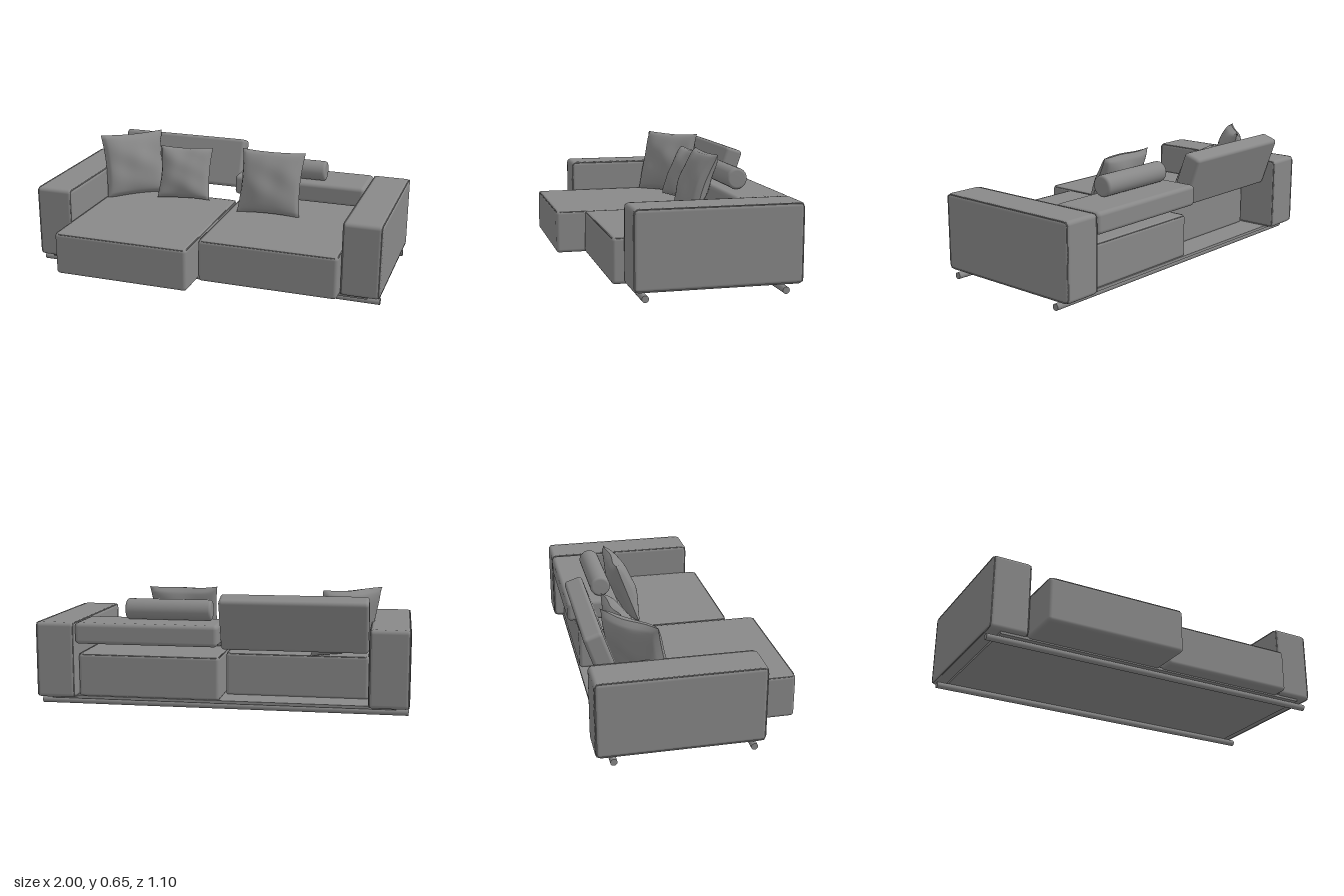
import * as THREE from 'three';
import { RoundedBoxGeometry } from 'three/addons/geometries/RoundedBoxGeometry.js';
import { mergeGeometries } from 'three/addons/utils/BufferGeometryUtils.js';

const fabric = new THREE.MeshStandardMaterial({ color: 0x888888 });
fabric.name = 'grey fabric';

function add(parent, name, geometry, x = 0, y = 0, z = 0) {
  const mesh = new THREE.Mesh(geometry, fabric);
  mesh.name = name;
  mesh.position.set(x, y, z);
  parent.add(mesh);
  return mesh;
}

// Rounded block given by its extents on each axis
function block(parent, name, [x0, x1], [y0, y1], [z0, z1], r = 0.02) {
  return add(parent, name, new RoundedBoxGeometry(x1 - x0, y1 - y0, z1 - z0, 4, r),
    (x0 + x1) / 2, (y0 + y1) / 2, (z0 + z1) / 2);
}

// Thin sewn piping along a rounded rectangle in the XY plane
function pipingGeometry(w, h, r = 0.02) {
  const path = new THREE.CurvePath();
  const a = w / 2, b = h / 2, v = (x, y) => new THREE.Vector3(x, y, 0);
  const corners = [[a, b, 0, 1], [-a, b, -1, 0], [-a, -b, 0, -1], [a, -b, 1, 0]];
  corners.forEach(([x, y, dx, dy], i) => {
    const sx = Math.sign(x), sy = Math.sign(y);
    const alongX = v(x - sx * r, y), alongY = v(x, y - sy * r);
    const [from, to] = dx === 0 ? [alongY, alongX] : [alongX, alongY];
    path.add(new THREE.QuadraticBezierCurve3(from, v(x, y), to));
    const [nx, ny, ndx] = corners[(i + 1) % 4];
    const next = ndx === 0 ? v(nx, ny - Math.sign(ny) * r) : v(nx - Math.sign(nx) * r, ny);
    path.add(new THREE.LineCurve3(to, next));
  });
  return new THREE.TubeGeometry(path, 120, 0.0035, 6, true);
}

// Square throw pillow: two bulging sheets meeting at a seam, with soft creases
function pillowGeometry(size, thick, seed) {
  const n = 28;
  const sheets = [1, -1].map((side) => {
    const g = new THREE.PlaneGeometry(2, 2, n, n);
    const p = g.attributes.position;
    for (let i = 0; i < p.count; i++) {
      const u = p.getX(i), v = p.getY(i);
      const bulge = Math.pow(Math.max(0, (1 - u * u) * (1 - v * v)), 0.42);
      const crease = 1 + 0.07 * Math.sin(5 * u + 3 * v + seed) * Math.sin(4 * v - 2 * u + seed * 2);
      const x = u * (1 - 0.07 * (1 - v * v)) * size / 2;
      const y = v * (1 - 0.05 * (1 - u * u)) * size / 2;
      const seam = 0.006 * Math.sin(4 * u + seed) * Math.cos(3 * v);
      p.setXYZ(i, x * side, y, side * bulge * crease * thick / 2 + seam * side * (side * 1));
      if (side < 0) p.setZ(i, -bulge * crease * thick / 2 + 0.006 * Math.sin(-4 * u + seed) * Math.cos(3 * v));
    }
    g.computeVertexNormals();
    return g;
  });
  return mergeGeometries(sheets);
}

export function createModel() {
  const sofa = new THREE.Group();
  sofa.name = 'sofa';

  // Armrests with piping around both side faces
  for (const [side, name] of [[1, 'leftArm'], [-1, 'rightArm']]) {
    const arm = new THREE.Group();
    arm.name = name;
    sofa.add(arm);
    block(arm, 'armBlock', side > 0 ? [0.785, 1] : [-1, -0.785], [0.048, 0.46], [-0.54, 0.33], 0.022);
    for (const x of [0.791, 0.994]) {
      add(arm, 'armPiping', pipingGeometry(0.86, 0.402), side * x, 0.254, -0.105).rotation.y = Math.PI / 2;
    }
  }

  // Seats: a long chaise on the right, a shorter seat on the left
  const seats = [['chaiseSeat', -0.783, -0.004, -0.32, 0.55], ['leftSeat', 0.004, 0.783, -0.48, 0.39]];
  for (const [name, x0, x1, z0, z1] of seats) {
    block(sofa, name, [x0, x1], [0.043, 0.284], [z0, z1], 0.02);
    add(sofa, name + 'Piping', pipingGeometry(x1 - x0 - 0.01, z1 - z0 - 0.01),
      (x0 + x1) / 2, 0.278, (z0 + z1) / 2).rotation.x = Math.PI / 2;
  }

  // Low back cushion and tall reclined back cushion
  block(sofa, 'lowBack', [0.004, 0.782], [0.345, 0.46], [-0.54, -0.25], 0.022);
  const back = block(sofa, 'tallBack', [-0.783, -0.002], [0.326, 0.618], [-0.512, -0.41], 0.02);
  back.rotation.x = THREE.MathUtils.degToRad(-19);

  // Bolster: lathe with rounded ends
  const R = 0.057, half = 0.237, e = 0.015;
  const profile = [new THREE.Vector2(0, -half)];
  for (const s of [-1, 1]) {
    for (let i = 0; i <= 4; i++) {
      const t = (s < 0 ? i : 4 - i) / 4 * Math.PI / 2;
      profile.push(new THREE.Vector2(R - e + e * Math.sin(t), s * (half - e + e * Math.cos(t))));
    }
  }
  profile.push(new THREE.Vector2(0, half));
  add(sofa, 'bolster', new THREE.LatheGeometry(profile, 32), 0.303, 0.517, -0.34).rotation.z = Math.PI / 2;

  // Throw pillows: size, thickness, position, yaw and lean in degrees
  const pillows = [
    ['cornerPillow', 0.385, 0.14, [-0.655, 0.462, -0.272], 40, -17],
    ['middlePillow', 0.32, 0.13, [-0.325, 0.434, -0.285], 9, -24],
    ['leftPillow', 0.375, 0.13, [0.245, 0.46, -0.19], 2, -20],
  ];
  pillows.forEach(([name, size, thick, pos, yaw, lean], i) => {
    const pillow = add(sofa, name, pillowGeometry(size, thick, i * 1.7 + 0.6), ...pos);
    pillow.rotation.order = 'YXZ';
    pillow.rotation.set(THREE.MathUtils.degToRad(lean), THREE.MathUtils.degToRad(yaw), 0);
  });

  // Base platform on two long round rails
  add(sofa, 'basePlatform', new THREE.BoxGeometry(1.86, 0.016, 0.79), 0, 0.043, -0.09);
  for (const [name, z] of [['frontRail', 0.27], ['backRail', -0.45]]) {
    add(sofa, name, new THREE.CylinderGeometry(0.018, 0.018, 1.99, 20), 0, 0.018, z).rotation.z = Math.PI / 2;
  }
  return sofa;
}
